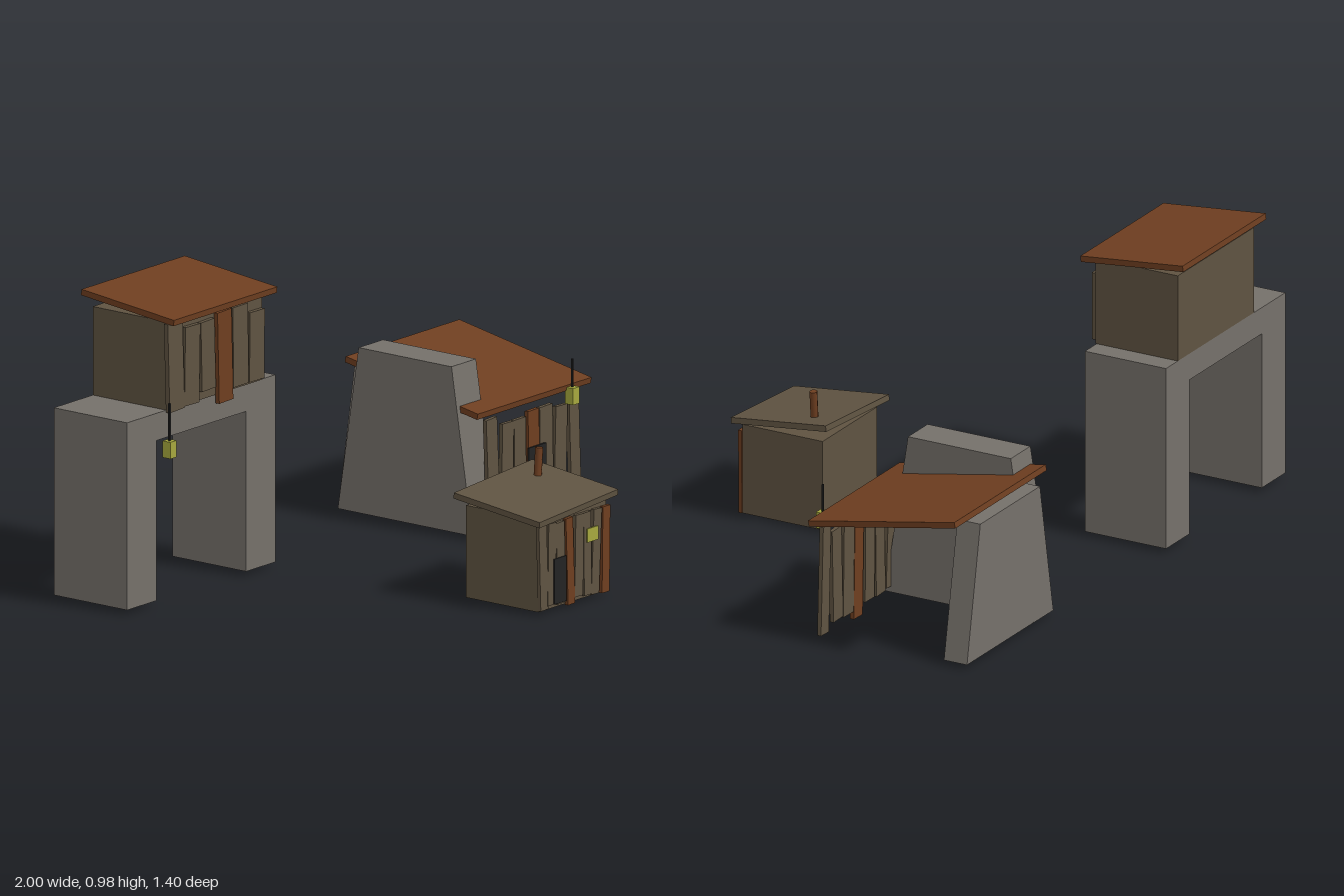
import * as THREE from 'three';

const material = (name, color) => {
  const m = new THREE.MeshStandardMaterial({ color });
  m.name = name;
  return m;
};

export function createModel() {
  const stone = material('stone', 0x75706a);
  const wood = material('weathered wood', 0x5f5341);
  const rust = material('rusty metal', 0x6e3e20);
  const dark = material('dark iron', 0x232323);
  const glow = material('lamp yellow', 0xa6a83e);

  const model = new THREE.Group();
  const group = (name) => {
    const g = new THREE.Group();
    g.name = name;
    model.add(g);
    return g;
  };
  const add = (parent, name, geometry, mat, x = 0, y = 0, z = 0) => {
    const mesh = new THREE.Mesh(geometry, mat);
    mesh.name = name;
    mesh.position.set(x, y, z);
    parent.add(mesh);
    return mesh;
  };
  // Box given by its limits on each axis
  const block = (parent, name, mat, [x0, x1], [y0, y1], [z0, z1]) =>
    add(parent, name, new THREE.BoxGeometry(x1 - x0, y1 - y0, z1 - z0), mat,
      (x0 + x1) / 2, (y0 + y1) / 2, (z0 + z1) / 2);

  // Crooked planks: [centre x, bottom, top, width, lean, is rusty]
  const planks = (parent, list, z, thick) => list.forEach(([x, y0, y1, w, lean, rusty], i) => {
    const p = add(parent, rusty ? 'rustyPlank' : 'plank', new THREE.BoxGeometry(w, y1 - y0, thick),
      rusty ? rust : wood, x, (y0 + y1) / 2, z + (i % 2) * 0.001);
    p.rotation.z = lean;
  });

  // Stone slab outline narrowing towards the top, centred on its length
  const slab = (parent, name, height, thick) => {
    const s = new THREE.Shape([[-0.275, 0], [0.275, 0], [0.19, height], [-0.19, height]]
      .map(([x, y]) => new THREE.Vector2(x, y)));
    const g = new THREE.ExtrudeGeometry(s, { depth: thick, bevelEnabled: false });
    return add(parent, name, g.translate(0, 0, -thick / 2), stone);
  };

  const lantern = (parent, x, y, z, poleTop) => {
    block(parent, 'lantern', glow, [x - 0.016, x + 0.016], [y, y + 0.055], [z - 0.016, z + 0.016]);
    block(parent, 'lanternHook', dark, [x - 0.003, x + 0.003], [y + 0.055, poleTop], [z - 0.003, z + 0.003]);
  };

  // Gatehouse: stone arch with a cabin on top
  const gate = group('gatehouse');
  const arch = new THREE.Shape([[-1, 0.02], [-0.85, 0.02], [-0.85, 0.55], [-0.39, 0.55],
    [-0.39, 0.02], [-0.24, 0.02], [-0.24, 0.64], [-1, 0.64]].map(([x, y]) => new THREE.Vector2(x, y)));
  add(gate, 'stoneArch', new THREE.ExtrudeGeometry(arch, { depth: 0.3, bevelEnabled: false }), stone, 0, 0, -0.66);
  block(gate, 'cabinBody', wood, [-0.8, -0.315], [0.64, 0.933], [-0.66, -0.355]);
  planks(gate, [
    [-0.772, 0.635, 0.93, 0.076, 0.035],
    [-0.69, 0.64, 0.9, 0.076, -0.02],
    [-0.607, 0.67, 0.9, 0.07, 0.03],
    [-0.521, 0.613, 0.915, 0.072, 0.03, true],
    [-0.441, 0.65, 0.915, 0.077, 0.01],
    [-0.358, 0.65, 0.88, 0.076, -0.01],
  ], -0.349, 0.016);
  const gateRoof = add(gate, 'cabinRoof', new THREE.BoxGeometry(0.53, 0.02, 0.38), rust, -0.545, 0.956, -0.51);
  gateRoof.rotation.x = 0.105;
  lantern(gate, -0.81, 0.49, -0.338, 0.668);

  // Small hut
  const hut = group('smallHut');
  block(hut, 'hutBody', wood, [-0.187, 0.16], [0.015, 0.32], [0.377, 0.673]);
  planks(hut, [
    [-0.174, 0.02, 0.3, 0.04, 0.035],
    [-0.132, 0.03, 0.3, 0.04, -0.02],
    [-0.085, 0.025, 0.295, 0.042, 0.03],
    [-0.038, 0.012, 0.3, 0.036, 0.04, true],
    [0.009, 0.03, 0.3, 0.042, -0.02],
    [0.05, 0.025, 0.3, 0.038, 0.015],
    [0.097, 0.02, 0.3, 0.04, -0.05],
    [0.145, 0.015, 0.3, 0.038, -0.015, true],
  ], 0.679, 0.012);
  block(hut, 'hutDoor', dark, [-0.125, -0.062], [0.03, 0.18], [0.683, 0.689]);
  block(hut, 'hutWindow', glow, [0.045, 0.1], [0.2, 0.245], [0.683, 0.69]);
  const hutRoof = add(hut, 'hutRoof', new THREE.BoxGeometry(0.4, 0.02, 0.353), wood, -0.01, 0.345, 0.522);
  hutRoof.rotation.set(0.115, 0, 0.07);
  const chimney = add(hut, 'chimney', new THREE.CylinderGeometry(0.013, 0.013, 0.125, 8), rust, 0.102, 0.399, 0.442);
  chimney.rotation.z = -0.08;

  // Lean-to: two tapered stone walls, sloping roof and plank front
  const lean = group('leanTo');
  const sideWall = slab(lean, 'sideWall', 0.547, 0.125);
  sideWall.position.set(0.4625, 0.02, -0.34);
  sideWall.rotation.y = Math.PI / 2;
  slab(lean, 'backWall', 0.455, 0.085).position.set(0.675, 0.02, -0.572);
  planks(lean, [
    [0.518, 0.04, 0.385, 0.056, 0.05],
    [0.59, 0.035, 0.355, 0.058, -0.02],
    [0.657, 0.04, 0.355, 0.06, 0.015],
    [0.727, 0.005, 0.37, 0.056, 0.025, true],
    [0.792, 0.035, 0.37, 0.066, 0.02],
    [0.863, 0.04, 0.355, 0.06, -0.03],
    [0.938, 0.02, 0.388, 0.05, 0.04],
  ], -0.08, 0.014);
  block(lean, 'leanToDoor', dark, [0.692, 0.782], [0.037, 0.25], [-0.073, -0.066]);
  const leanRoof = add(lean, 'leanToRoof', new THREE.BoxGeometry(0.583, 0.02, 0.55), rust, 0.7085, 0.463, -0.328);
  leanRoof.rotation.x = 0.185;
  lantern(lean, 0.89, 0.36, -0.047, 0.508);

  return model;
}
